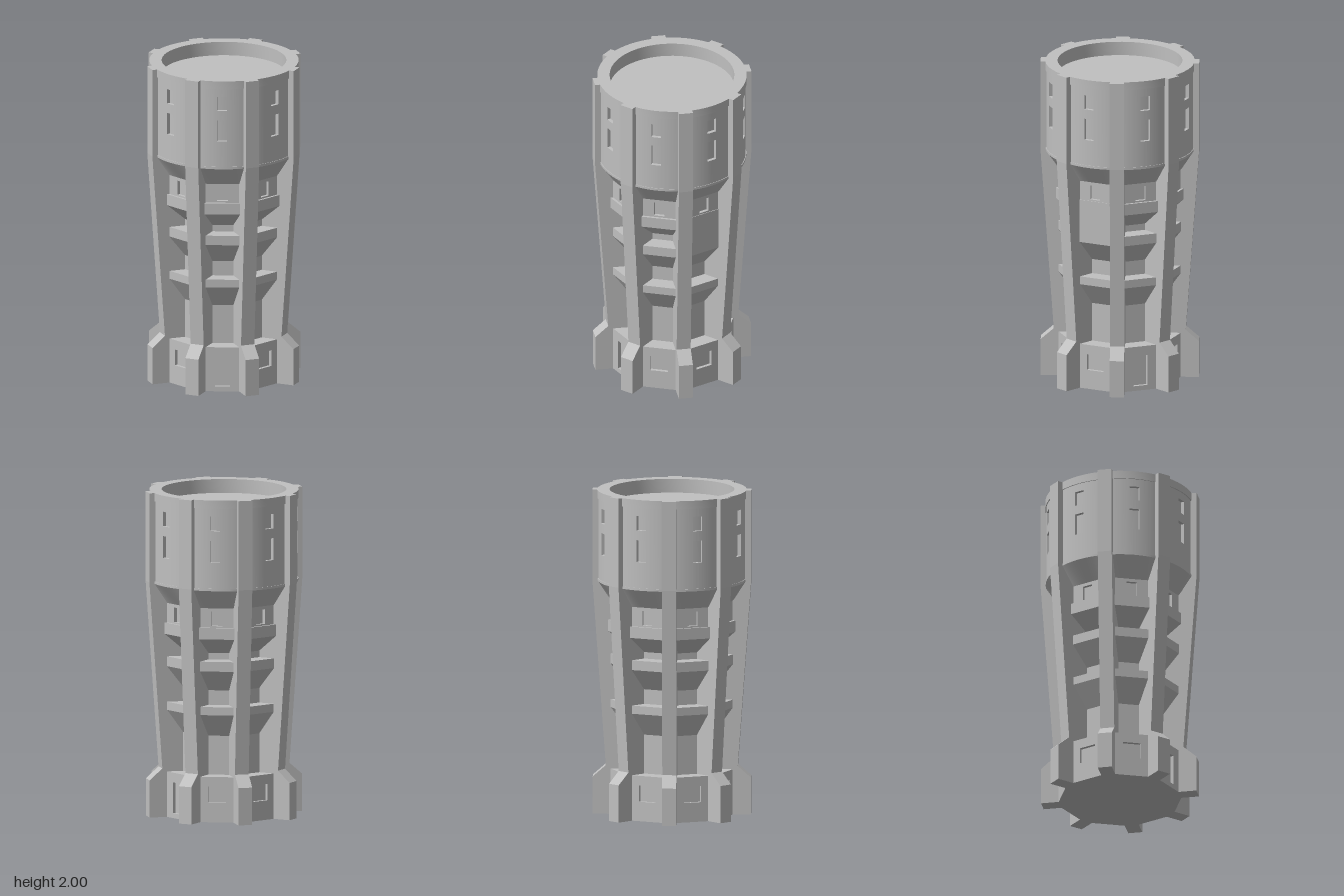
import * as THREE from 'three';
import { toCreasedNormals } from 'three/addons/utils/BufferGeometryUtils.js';

const BAY = Math.PI / 4;

export function createModel() {
  const stone = new THREE.MeshStandardMaterial({ color: 0xc0c0c0 });
  stone.name = 'grey stone';
  const tower = new THREE.Group();
  tower.name = 'tower';

  const add = (parent, name, geometry) => {
    const mesh = new THREE.Mesh(geometry, stone);
    mesh.name = name;
    parent.add(mesh);
    return mesh;
  };
  const shapeOf = pts => new THREE.Shape(pts.map(p => new THREE.Vector2(...p)));

  // Radius/height outline, given thickness and turned to face +z
  const slab = (pts, width) => {
    const g = new THREE.ExtrudeGeometry(shapeOf(pts), { depth: width, bevelEnabled: false });
    return g.translate(0, 0, -width / 2).rotateY(-Math.PI / 2);
  };

  // Flat wall plate with a rectangular opening
  const plate = (y0, y1, half, w0, w1) => {
    const s = shapeOf([[-0.125, y0], [0.125, y0], [0.125, y1], [-0.125, y1]]);
    s.holes.push(new THREE.Path([[-half, w0], [-half, w1], [half, w1], [half, w0]]
      .map(p => new THREE.Vector2(...p))));
    return new THREE.ExtrudeGeometry(s, { depth: 0.02, bevelEnabled: false }).translate(0, 0, 0.34);
  };

  // Curved wall block between two bearings
  const arcBlock = (a0, a1, y0, y1) => {
    const s = new THREE.Shape();
    s.absarc(0, 0, 0.449, a0 - Math.PI / 2, a1 - Math.PI / 2, false);
    s.absarc(0, 0, 0.428, a1 - Math.PI / 2, a0 - Math.PI / 2, true);
    const g = new THREE.ExtrudeGeometry(s, { depth: y1 - y0, bevelEnabled: false, curveSegments: 8 });
    return toCreasedNormals(g.rotateX(-Math.PI / 2).translate(0, y0, 0), 0.6);
  };

  // Core walls with sloping ledges
  const lower = [[0, 0], [0.34, 0], [0.34, 0.28], [0.267, 0.28], [0.267, 0.52], [0.36, 0.66],
    [0.36, 0.71], [0.267, 0.71], [0.267, 0.8], [0.362, 0.93]];
  const topLedge = [[0.362, 0.99], [0.267, 0.99], [0.267, 1.03], [0.375, 1.13], [0.375, 1.2]];
  const cap = [[0.34, 1.2], [0.34, 1.34], [0, 1.34]];
  const ledgeWall = slab([...lower, ...topLedge, ...cap], 0.25);
  const solidWall = slab([...lower, [0.364, 1.2], ...cap], 0.25);

  const doorPlate = plate(0, 0.28, 0.045, 0.03, 0.22);
  const basePlate = plate(0, 0.28, 0.055, 0.12, 0.22);
  const windowPlate = plate(1.2, 1.32, 0.033, 1.21, 1.3);

  // Upper wall pieces, leaving two window openings
  const W = 0.068, E = 0.34;
  const upperPieces = [
    [-E, -W, 1.45, 1.95], [W, E, 1.45, 1.95],
    [-W, W, 1.45, 1.615], [-W, W, 1.75, 1.81], [-W, W, 1.9, 1.95],
  ].map(p => arcBlock(...p));

  // Buttress outline
  const buttress = slab([[0, 0], [0.482, 0], [0.482, 0.23], [0.402, 0.3], [0.484, 1.45],
    [0.484, 2], [0.42, 2], [0.42, 1.88], [0, 1.88]], 0.087);

  for (let i = 0; i < 8; i++) {
    const bay = new THREE.Group();
    bay.name = 'bay' + (i + 1);
    bay.rotation.y = i * BAY;
    add(bay, 'wallWithLedges', i === 2 ? solidWall : ledgeWall);
    add(bay, i === 0 || i === 3 ? 'doorWall' : 'baseWindowWall',
      i === 0 || i === 3 ? doorPlate : basePlate);
    add(bay, 'middleWindowWall', windowPlate);
    upperPieces.forEach(g => add(bay, 'upperWindowWall', g));
    add(bay, 'buttress', buttress).rotation.y = BAY / 2;
    tower.add(bay);
  }

  // Flared head with rim and sunken roof
  const profile = [[0, 1.32], [0.36, 1.32], [0.453, 1.44], [0.453, 1.455], [0.428, 1.455],
    [0.428, 1.95], [0.455, 1.95], [0.455, 2], [0.38, 2], [0.38, 1.915], [0, 1.915]];
  const head = new THREE.LatheGeometry(profile.map(p => new THREE.Vector2(...p)), 64);
  // The foot of the flare follows the eight flat walls
  const pos = head.attributes.position;
  for (let i = 0; i < pos.count; i++) {
    if (pos.getY(i) > 1.33) continue;
    const a = Math.atan2(pos.getX(i), pos.getZ(i));
    const k = 1 / Math.cos(a - Math.round(a / BAY) * BAY);
    pos.setX(i, pos.getX(i) * k);
    pos.setZ(i, pos.getZ(i) * k);
  }
  add(tower, 'headAndRoof', toCreasedNormals(head, 0.5));

  return tower;
}
